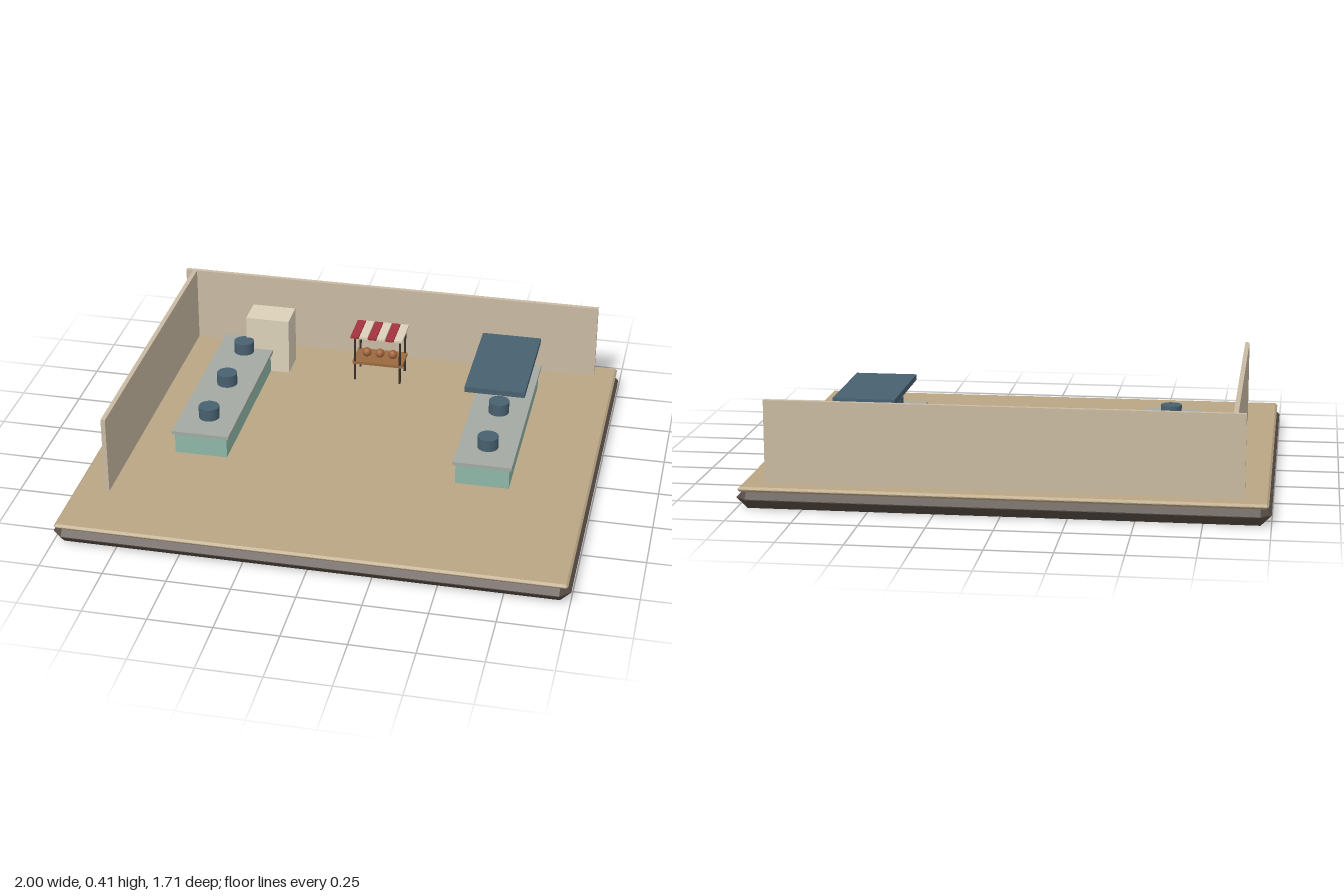
import * as THREE from 'three';
import { ConvexGeometry } from 'three/addons/geometries/ConvexGeometry.js';

const FLOOR = 0.087;

function mat(color) {
  return new THREE.MeshStandardMaterial({ color });
}
const slate = mat(0x48606f), teal = mat(0x8fb8a8), stone = mat(0xa3aaa2), sand = mat(0xb9a685),
  plaster = mat(0xc9baa2), cream = mat(0xdcd1ba), red = mat(0xa2333f), wood = mat(0x9a6a40),
  earth = mat(0x564b43), iron = mat(0x3a302a), bread = mat(0xa0623c);

// Box given by its min and max corners
function box(name, material, x0, x1, y0, y1, z0, z1) {
  const mesh = new THREE.Mesh(new THREE.BoxGeometry(x1 - x0, y1 - y0, z1 - z0), material);
  mesh.position.set((x0 + x1) / 2, (y0 + y1) / 2, (z0 + z1) / 2);
  mesh.name = name;
  return mesh;
}

// Box with every edge and corner cut by r
function chamferBox(name, material, hx, hz, y0, y1, r) {
  const hy = (y1 - y0) / 2, points = [];
  for (const sx of [-1, 1]) for (const sy of [-1, 1]) for (const sz of [-1, 1]) {
    points.push(
      new THREE.Vector3(sx * hx, sy * (hy - r), sz * (hz - r)),
      new THREE.Vector3(sx * (hx - r), sy * hy, sz * (hz - r)),
      new THREE.Vector3(sx * (hx - r), sy * (hy - r), sz * hz));
  }
  const mesh = new THREE.Mesh(new ConvexGeometry(points), material);
  mesh.position.y = y0 + hy;
  mesh.name = name;
  return mesh;
}

// Counter with a worktop and three pots
function counter(name, x) {
  const g = new THREE.Group();
  g.name = name;
  g.add(box('counterBody', teal, x - 0.107, x + 0.107, FLOOR, 0.174, -0.605, 0.225));
  g.add(box('worktop', stone, x - 0.117, x + 0.117, 0.174, 0.188, -0.617, 0.235));
  for (const z of [-0.48, -0.195, 0.09]) {
    const pot = new THREE.Mesh(new THREE.CylinderGeometry(0.042, 0.042, 0.05, 20), slate);
    pot.position.set(x, 0.213, z);
    pot.name = 'pot';
    g.add(pot);
  }
  return g;
}

// Small stall: legs, shelf with loaves, striped awning
function stall() {
  const g = new THREE.Group();
  g.name = 'stall';
  for (const x of [-0.097, 0.097]) for (const z of [-0.632, -0.517]) {
    const leg = new THREE.Mesh(new THREE.CylinderGeometry(0.005, 0.005, 0.205, 8), iron);
    leg.position.set(x, FLOOR + 0.1025, z);
    leg.name = 'leg';
    g.add(leg);
  }
  g.add(box('shelf', wood, -0.108, 0.108, 0.163, 0.175, -0.635, -0.512));
  for (const x of [-0.056, 0, 0.056]) {
    const loaf = new THREE.Mesh(new THREE.SphereGeometry(0.02, 12, 8), bread);
    loaf.position.set(x, 0.195, -0.57);
    loaf.name = 'loaf';
    g.add(loaf);
  }
  for (let i = 0; i < 6; i++) {
    const x = -0.113 + i * 0.0375;
    g.add(box('awningStripe', i % 2 ? cream : red, x, x + 0.035, 0.291, 0.301, -0.652, -0.498));
  }
  return g;
}

export function createModel() {
  const model = new THREE.Group();
  model.name = 'marketKitchen';

  // Ground
  model.add(chamferBox('base', earth, 1, 0.855, 0, 0.083, 0.04));
  model.add(chamferBox('floor', sand, 0.99, 0.845, 0.068, FLOOR, 0.008));

  // Walls
  model.add(box('backWall', plaster, -0.9, 0.9, FLOOR, 0.408, -0.775, -0.757));
  model.add(box('sideWall', plaster, -0.87, -0.852, FLOOR, 0.408, -0.757, 0.567));

  // Furnishings
  model.add(counter('rightCounter', -0.573), counter('leftCounter', 0.57));
  model.add(box('cabinet', cream, -0.57, -0.385, FLOOR, 0.332, -0.64, -0.512));
  model.add(box('canopy', slate, 0.447, 0.69, 0.343, 0.366, -0.525, -0.055));
  model.add(stall());
  return model;
}
